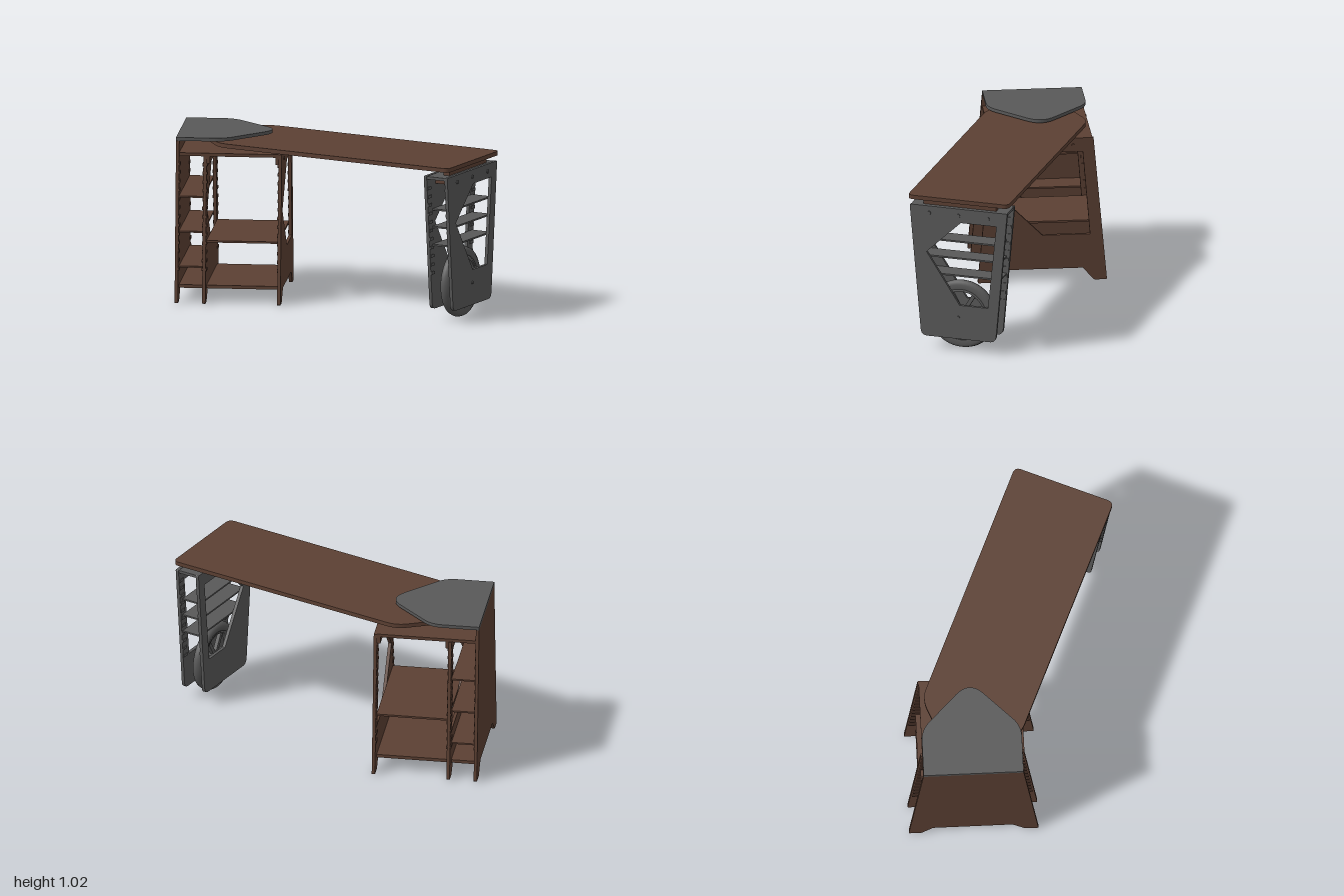
import * as THREE from 'three';

const brown = new THREE.MeshStandardMaterial({ color: 0x5c4033 });
brown.name = 'brown wood';
const grey = new THREE.MeshStandardMaterial({ color: 0x595959 });
grey.name = 'grey paint';

function add(parent, name, geometry, material) {
  const mesh = new THREE.Mesh(geometry, material);
  mesh.name = name;
  parent.add(mesh);
  return mesh;
}

// Box given by its limits along each axis
function box(parent, name, material, [x0, x1], [y0, y1], [z0, z1]) {
  const m = add(parent, name, new THREE.BoxGeometry(x1 - x0, y1 - y0, z1 - z0), material);
  m.position.set((x0 + x1) / 2, (y0 + y1) / 2, (z0 + z1) / 2);
  return m;
}

// Polygon of [x, y, rounding] corners
function outline(points, target = new THREE.Shape()) {
  const n = points.length;
  points.forEach(([x, y, t = 0], i) => {
    const toward = ([px, py]) => {
      const d = Math.hypot(px - x, py - y);
      return [x + ((px - x) * t) / d, y + ((py - y) * t) / d];
    };
    const a = toward(points[(i + n - 1) % n]);
    const b = toward(points[(i + 1) % n]);
    if (i === 0) target.moveTo(...a); else target.lineTo(...a);
    if (t) target.quadraticCurveTo(x, y, ...b);
  });
  target.closePath();
  return target;
}

// Upright panel: outline in (z, y), thickness along x from x0 to x1
function panel(parent, name, material, points, x0, x1, hole) {
  const shape = outline(points);
  if (hole) shape.holes.push(outline(hole, new THREE.Path()));
  const g = new THREE.ExtrudeGeometry(shape, { depth: x1 - x0, bevelEnabled: false, curveSegments: 8 });
  g.rotateY(-Math.PI / 2).translate(x1, 0, 0);
  return add(parent, name, g, material);
}

// Flat board: outline in (x, z), thickness along y from y0 to y1
function board(parent, name, material, points, y0, y1) {
  const g = new THREE.ExtrudeGeometry(outline(points), { depth: y1 - y0, bevelEnabled: false, curveSegments: 12 });
  g.rotateX(Math.PI / 2).translate(0, y1, 0);
  return add(parent, name, g, material);
}

function bolt(parent, x, y, z, material, r = 0.011) {
  const m = add(parent, 'bolt', new THREE.CylinderGeometry(r, r, 0.008, 16), material);
  m.rotation.z = Math.PI / 2;
  m.position.set(x, y, z);
}

function buildCabinet() {
  const cabinet = new THREE.Group();
  cabinet.name = 'cabinet';
  const half = (y) => 0.4 - 0.09 * y;
  const side = (top) => [
    [-0.4, 0, 0.008], [-0.32, 0, 0.008], [-0.25, 0.08], [0.24, 0.08], [0.32, 0, 0.008],
    [0.4, 0, 0.008], [half(top), top], [-half(top), top],
  ];
  const hole = [[0.27, 0.57], [0, 0.84], [-0.25, 0.84], [-0.295, 0.3], [0, 0.3]];
  panel(cabinet, 'outerSide', brown, side(1.004), -1, -0.98);
  panel(cabinet, 'dividerSide', brown, side(0.91), -0.83, -0.81, hole);
  panel(cabinet, 'innerSide', brown, side(0.93), -0.365, -0.345, hole);

  // Top board, battens and shelves
  box(cabinet, 'topBoard', brown, [-0.98, -0.365], [0.91, 0.93], [-0.31, 0.31]);
  for (const x of [-0.81, -0.385])
    box(cabinet, 'topBatten', brown, [x, x + 0.02], [0.865, 0.91], [-0.31, 0.31]);
  box(cabinet, 'bottomShelfNarrow', brown, [-0.98, -0.83], [0.085, 0.105], [-0.33, 0.33]);
  box(cabinet, 'bottomShelfWide', brown, [-0.81, -0.365], [0.085, 0.105], [-0.33, 0.33]);
  box(cabinet, 'wideShelf', brown, [-0.81, -0.365], [0.373, 0.385], [-0.33, 0.33]);
  for (const y of [0.21, 0.43, 0.65])
    box(cabinet, 'narrowShelf', brown, [-0.98, -0.83], [y, y + 0.01], [-0.32, 0.32]);

  // Small shelf runners near the front and back edges
  for (let y = 0.2; y < 0.85; y += 0.054)
    for (const s of [-1, 1])
      for (const x of [-0.98, -0.835, -0.81, -0.37]) {
        const z = s * (half(y) - 0.035);
        box(cabinet, 'shelfRunner', brown, [x, x + 0.005], [y, y + 0.018], [z - 0.025, z + 0.025]);
      }
  for (const z of [-0.19, 0, 0.19]) bolt(cabinet, -0.343, 0.885, z, brown, 0.009);

  // Cap plate over the pivot
  board(cabinet, 'capPlate', grey, [
    [-1, -0.308], [-0.7, -0.308, 0.07], [-0.392, 0, 0.12], [-0.7, 0.308, 0.07], [-1, 0.308],
  ], 1.004, 1.025);
  cabinet.position.z = -0.27;
  return cabinet;
}

function buildWheel() {
  const wheel = new THREE.Group();
  wheel.name = 'wheel';
  const ring = (name, pts) => {
    const g = new THREE.LatheGeometry(pts.map(([r, h]) => new THREE.Vector2(r, h)), 48);
    return add(wheel, name, g.rotateZ(Math.PI / 2), grey);
  };
  ring('tyre', [[0.165, -0.028], [0.195, -0.032], [0.212, -0.022], [0.22, 0], [0.212, 0.022],
    [0.195, 0.032], [0.165, 0.028], [0.165, -0.028]]);
  ring('rim', [[0.148, -0.022], [0.166, -0.022], [0.166, 0.022], [0.148, 0.022], [0.148, -0.022]]);
  ring('hub', [[0, -0.03], [0.035, -0.03], [0.035, 0.03], [0, 0.03]]);
  ring('axle', [[0, -0.066], [0.01, -0.066], [0.01, 0.066], [0, 0.066]]);
  for (let i = 0; i < 6; i++) {
    const spoke = add(wheel, 'spoke', new THREE.BoxGeometry(0.024, 0.13, 0.024).translate(0, 0.09, 0), grey);
    spoke.rotation.x = (i * Math.PI) / 3 + 0.5;
  }
  wheel.position.set(1.537, 0.22, 0);
  return wheel;
}

function buildLeg() {
  const leg = new THREE.Group();
  leg.name = 'rollingLeg';
  const side = [[-0.24, 0.08, 0.04], [0.24, 0.08, 0.04], [0.315, 0.93, 0.008], [-0.315, 0.93, 0.008]];
  const hole = [[0.206, 0.63], [-0.015, 0.84], [-0.245, 0.84], [-0.19, 0.3], [-0.008, 0.3]];
  panel(leg, 'innerLegPanel', grey, side, 1.454, 1.474, hole);
  panel(leg, 'outerLegPanel', grey, side, 1.6, 1.62, hole);
  box(leg, 'legTopBoard', grey, [1.474, 1.6], [0.91, 0.928], [-0.31, 0.31]);
  box(leg, 'legBlock', brown, [1.474, 1.56], [0.865, 0.91], [-0.2, 0.2]);
  box(leg, 'legSpacer', brown, [1.55, 1.59], [0.93, 0.967], [-0.235, 0.235]);
  for (const y of [0.48, 0.593, 0.703])
    box(leg, 'legShelf', grey, [1.474, 1.6], [y, y + 0.01], [-0.265, 0.24]);

  // Runners along both edges, inside the panels
  for (let y = 0.3; y < 0.85; y += 0.054)
    for (const s of [-1, 1])
      for (const x of [1.474, 1.595]) {
        const z = s * (0.21 + 0.088 * y);
        box(leg, 'legRunner', grey, [x, x + 0.005], [y, y + 0.018], [z - 0.02, z + 0.02]);
      }
  for (const z of [-0.19, 0, 0.19]) bolt(leg, 1.623, 0.885, z, grey, 0.012);
  bolt(leg, 1.623, 0.22, 0, grey, 0.009);
  leg.add(buildWheel());
  return leg;
}

export function createModel() {
  const model = new THREE.Group();
  model.name = 'swivelDesk';
  model.add(buildCabinet());

  // Swinging desktop turns about the pivot on the cabinet
  const swing = new THREE.Group();
  swing.name = 'swingingDesk';
  board(swing, 'desktop', brown, [
    [1.631, -0.325, 0.04], [1.631, 0.325, 0.04], [0.01, 0.325, 0.07], [-0.315, 0, 0.12], [0.01, -0.325, 0.07],
  ], 0.967, 0.993);
  const disc = add(swing, 'pivotDisc', new THREE.CylinderGeometry(0.145, 0.145, 0.023, 48), brown);
  disc.position.y = 0.9415;
  const pin = add(swing, 'pivotPin', new THREE.CylinderGeometry(0.006, 0.006, 0.09, 12), grey);
  pin.position.y = 0.975;
  swing.add(buildLeg());
  swing.position.set(-0.62, 0, -0.27);
  swing.rotation.y = THREE.MathUtils.degToRad(-23.3);
  model.add(swing);
  return model;
}
